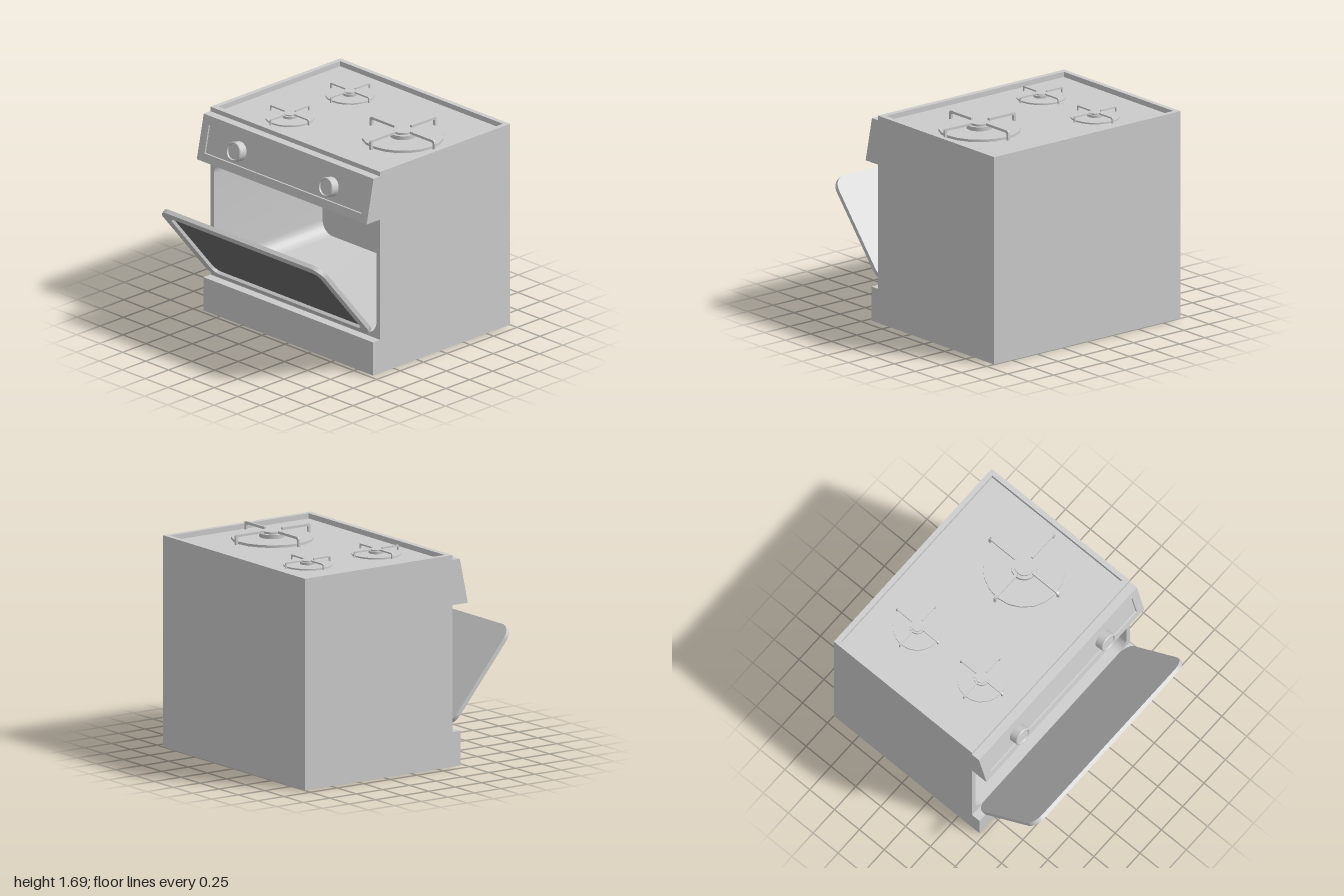
import * as THREE from 'three';
import { toCreasedNormals } from 'three/addons/utils/BufferGeometryUtils.js';

const grey = new THREE.MeshStandardMaterial({ color: 0xcccccc });
const darkGlass = new THREE.MeshStandardMaterial({ color: 0x6a6a6a });

function add(parent, name, geometry, material = grey) {
  const mesh = new THREE.Mesh(geometry, material);
  mesh.name = name;
  parent.add(mesh);
  return mesh;
}

// Box given by its limits on each axis
function block(x0, x1, y0, y1, z0, z1) {
  return new THREE.BoxGeometry(x1 - x0, y1 - y0, z1 - z0)
    .translate((x0 + x1) / 2, (y0 + y1) / 2, (z0 + z1) / 2);
}

// Rectangle outline with optional rounded corners, for shapes and holes
function rect(x0, x1, y0, y1, r = 0, Type = THREE.Shape) {
  const s = new Type();
  if (!r) {
    return s.moveTo(x0, y0).lineTo(x1, y0).lineTo(x1, y1).lineTo(x0, y1).closePath();
  }
  s.moveTo(x0 + r, y0).lineTo(x1 - r, y0);
  s.absarc(x1 - r, y0 + r, r, -Math.PI / 2, 0);
  s.absarc(x1 - r, y1 - r, r, 0, Math.PI / 2);
  s.absarc(x0 + r, y1 - r, r, Math.PI / 2, Math.PI);
  s.absarc(x0 + r, y0 + r, r, Math.PI, Math.PI * 1.5);
  return s;
}

function extrude(shape, depth, z0 = 0, hole = null) {
  if (hole) shape.holes.push(hole);
  const g = new THREE.ExtrudeGeometry(shape, { depth, bevelEnabled: false, curveSegments: 8 });
  return toCreasedNormals(g.translate(0, 0, z0), 0.6);
}

// Burner standing on y = 0, sized for the small hob
function makeBurner(name, scale, x, y, z) {
  const burner = new THREE.Group();
  burner.name = name;
  const cyl = (r, h, y0) =>
    toCreasedNormals(new THREE.CylinderGeometry(r, r, h, 20).translate(0, y0 + h / 2, 0), 0.6);
  add(burner, 'burnerPlate', cyl(0.19, 0.012, 0));
  add(burner, 'burnerRing', cyl(0.061, 0.019, 0.012));
  add(burner, 'burnerCap', cyl(0.046, 0.01, 0.031));

  // Four bent bars: a level arm with a leg down to the hob
  const arm = new THREE.Shape();
  arm.moveTo(0.053, 0.035).lineTo(0.19, 0.035).quadraticCurveTo(0.2, 0.035, 0.2, 0.026);
  arm.lineTo(0.2, 0).lineTo(0.212, 0).lineTo(0.212, 0.032);
  arm.quadraticCurveTo(0.212, 0.047, 0.197, 0.047).lineTo(0.053, 0.047).closePath();
  const armGeo = extrude(arm, 0.012, -0.006);
  for (let i = 0; i < 4; i++) {
    add(burner, 'grateArm', armGeo).rotation.y = i * Math.PI / 2;
  }
  burner.scale.setScalar(scale);
  burner.position.set(x, y, z);
  return burner;
}

export function createModel() {
  const model = new THREE.Group();
  model.name = 'stove';
  const W = 0.925, BACK = -1, FRONT = 0.39, CAVITY = -0.77;
  const HOB = 1.616, TOP = 1.657;

  // Body with the rounded oven cavity
  add(model, 'body', extrude(rect(-W, W, 0, HOB), FRONT - CAVITY, CAVITY,
    rect(-0.885, 0.885, 0.3, 1.225, 0.11, THREE.Path)));
  add(model, 'bodyBack', block(-W, W, 0, HOB, BACK, CAVITY));
  add(model, 'plinth', block(-W, W, 0, 0.273, FRONT, 0.465));

  // Raised rim around the sunken hob
  add(model, 'hobRim', extrude(rect(-W, W, -FRONT, -BACK), TOP - HOB, 0,
    rect(-0.885, 0.885, -0.345, 0.96, 0, THREE.Path)).rotateX(-Math.PI / 2).translate(0, HOB, 0));

  model.add(makeBurner('largeBurner', 1.66, 0.48, HOB, -0.29));
  model.add(makeBurner('smallBackBurner', 1, -0.41, HOB, -0.6));
  model.add(makeBurner('smallFrontBurner', 1, -0.41, HOB, 0.045));

  // Sloped control panel: solid wedge plus a leaning frame around a shallow recess
  const y0 = 1.265, y1 = 1.62, zLow = 0.535, zHigh = 0.46, inset = 0.014;
  const wedge = new THREE.Shape();
  wedge.moveTo(-FRONT, y0).lineTo(-FRONT, y1).lineTo(inset - zHigh, y1)
    .lineTo(inset - zLow, y0).closePath();
  add(model, 'controlPanel', extrude(wedge, 2 * W, -W).rotateY(Math.PI / 2));
  const slope = (zHigh - zLow) / (y1 - y0);
  const frame = extrude(rect(-W, W, y0, y1), inset, -inset,
    rect(-0.855, 0.855, 1.33, 1.55, 0, THREE.Path));
  const p = frame.attributes.position;
  for (let i = 0; i < p.count; i++) {
    p.setZ(i, p.getZ(i) + zLow + slope * (p.getY(i) - y0));
  }
  frame.computeVertexNormals();
  add(model, 'controlPanelFrame', frame);

  // Knobs with dished faces, square to the panel
  const knobProfile = [[0.077, 0], [0.077, 0.066], [0.072, 0.071], [0.064, 0.071],
    [0.059, 0.06], [0, 0.06]].map(([r, y]) => new THREE.Vector2(r, y));
  const knobGeo = toCreasedNormals(
    new THREE.LatheGeometry(knobProfile, 28).rotateX(Math.PI / 2), 0.6);
  for (const x of [-0.513, 0.491]) {
    const knob = add(model, 'knob', knobGeo);
    knob.position.set(x, 1.437, zLow + slope * (1.437 - y0) - inset);
    knob.rotation.x = Math.atan(slope);
  }

  // Half-open door hinged at its lower edge, with a recessed window outside
  const door = new THREE.Group();
  door.name = 'door';
  add(door, 'doorInnerPanel', extrude(rect(-0.885, 0.885, 0, 0.898, 0.11), 0.007));
  add(door, 'doorFrame', extrude(rect(-0.885, 0.885, 0, 0.898, 0.11), 0.028, 0.007,
    rect(-0.81, 0.81, 0.058, 0.818, 0.06, THREE.Path)));
  add(door, 'doorWindow', extrude(rect(-0.81, 0.81, 0.058, 0.818, 0.06), 0.002, 0.007), darkGlass);
  door.position.set(0, 0.322, 0.397);
  door.rotation.x = 0.692;
  model.add(door);

  return model;
}
